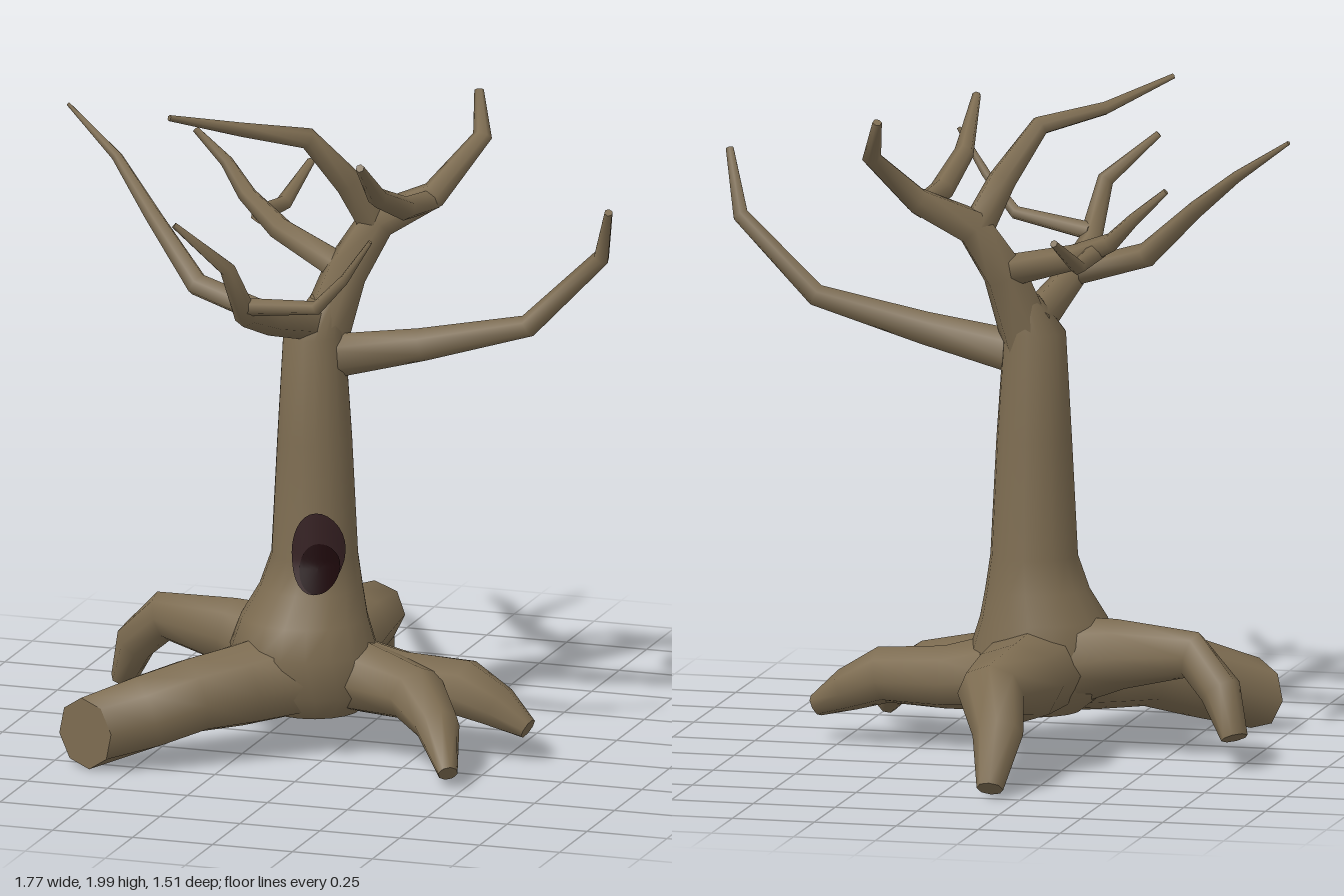
import * as THREE from 'three';

const bark = new THREE.MeshStandardMaterial({ color: 0x7d6c51 });
bark.name = 'bark';
const hollowBrown = new THREE.MeshStandardMaterial({ color: 0x352022 });
hollowBrown.name = 'hollowBrown';
const hollowDark = new THREE.MeshStandardMaterial({ color: 0x1f090c });
hollowDark.name = 'hollowDark';

const V = (x, y, z) => new THREE.Vector3(x, y, z);

// Skin a list of equal-sized rings, with a flat cap at each end
function loft(rings) {
  const n = rings[0].length, pos = [], idx = [];
  const add = (p) => pos.push(p.x, p.y, p.z) / 3 - 1;
  rings.forEach((ring) => ring.forEach(add));
  for (let i = 0; i < rings.length - 1; i++) {
    for (let j = 0; j < n; j++) {
      const a = i * n + j, b = i * n + (j + 1) % n;
      idx.push(a, b, b + n, a, b + n, a + n);
    }
  }
  [rings[0], rings[rings.length - 1]].forEach((ring, end) => {
    const mid = add(ring.reduce((s, p) => s.add(p), V(0, 0, 0)).divideScalar(n));
    const first = pos.length / 3;
    ring.forEach(add);
    for (let j = 0; j < n; j++) {
      const a = first + j, b = first + (j + 1) % n;
      idx.push(mid, end ? a : b, end ? b : a);
    }
  });
  const g = new THREE.BufferGeometry();
  g.setAttribute('position', new THREE.Float32BufferAttribute(pos, 3));
  g.setIndex(idx);
  g.computeVertexNormals();
  return g;
}

// Tapered limb through points [x, y, z, radius, sideways radius]; endDir sets the cut of the tip
function limb(points, sides, endDir) {
  const p = points.map(([x, y, z]) => V(x, y, z));
  const last = p.length - 1;
  let u = null;
  const rings = p.map((c, i) => {
    const t = V(0, 0, 0);
    if (i > 0) t.add(c.clone().sub(p[i - 1]).normalize());
    if (i < last) t.add(p[i + 1].clone().sub(c).normalize());
    if (i === last && endDir) t.copy(endDir);
    t.normalize();
    if (!u) u = Math.abs(t.y) > 0.8 ? V(1, 0, 0) : V(0, 1, 0);
    u = u.clone().addScaledVector(t, -u.dot(t)).normalize();
    const v = t.clone().cross(u);
    const r = points[i][3], w = points[i][4] ?? r;
    return Array.from({ length: sides }, (_, j) => {
      const a = (j / sides) * Math.PI * 2;
      return c.clone().addScaledVector(u, Math.cos(a) * r).addScaledVector(v, Math.sin(a) * w);
    });
  });
  return loft(rings);
}

// Trunk sections: y, centre x, centre z, radius x, radius z
const trunkRows = [
  [0.13, -0.08, 0.09, 0.14, 0.14],
  [0.2, -0.09, 0.09, 0.22, 0.2],
  [0.32, -0.11, 0.1, 0.22, 0.215],
  [0.41, -0.11, 0.09, 0.19, 0.185],
  [0.5, -0.095, 0.072, 0.155, 0.15],
  [0.6, -0.085, 0.07, 0.13, 0.128],
  [0.95, -0.085, 0.07, 0.112, 0.115],
  [1.27, -0.087, 0.07, 0.092, 0.098],
  [1.38, -0.055, 0.045, 0.05, 0.055],
];

function trunkPoint(row, a, offset = 0) {
  const [y, cx, cz, rx, rz] = row;
  return V(cx + Math.sin(a) * (rx + offset), y, cz + Math.cos(a) * (rz + offset));
}

function trunkRowAt(y) {
  const i = trunkRows.findIndex((r) => r[0] > y);
  const lo = trunkRows[i - 1], hi = trunkRows[i];
  const t = (y - lo[0]) / (hi[0] - lo[0]);
  return lo.map((value, k) => value + (hi[k] - value) * t);
}

// Oval patch wrapped onto the trunk surface
function trunkOval(x, y, rx, ry, offset) {
  const g = new THREE.RingGeometry(0.001, 1, 28, 5);
  const pos = g.attributes.position;
  for (let i = 0; i < pos.count; i++) {
    const row = trunkRowAt(y + pos.getY(i) * ry);
    const s = (x + pos.getX(i) * rx - row[1]) / (row[3] + offset);
    const p = trunkPoint(row, Math.asin(THREE.MathUtils.clamp(s, -1, 1)), offset);
    pos.setXYZ(i, p.x, p.y, p.z);
  }
  g.computeVertexNormals();
  return g;
}

const roots = {
  frontRightRoot: [[-0.08, 0.26, 0.1, 0.14, 0.17], [-0.25, 0.23, 0.28, 0.125, 0.14], [-0.36, 0.215, 0.38, 0.115, 0.13],
    [-0.48, 0.175, 0.465, 0.115, 0.13], [-0.635, 0.12, 0.56, 0.108, 0.1]],
  sideRightRoot: [[-0.1, 0.27, 0.06, 0.15, 0.17], [-0.36, 0.32, 0.025, 0.105, 0.095], [-0.59, 0.335, -0.02, 0.075, 0.05],
    [-0.69, 0.24, -0.07, 0.065, 0.06], [-0.745, 0.11, -0.12, 0.035, 0.045]],
  backRoot: [[-0.1, 0.26, 0.02, 0.13, 0.16], [-0.12, 0.275, -0.3, 0.12, 0.15], [-0.09, 0.275, -0.47, 0.095, 0.1],
    [-0.15, 0.18, -0.62, 0.07, 0.075], [-0.155, 0.04, -0.735, 0.035, 0.04]],
  frontLeftRoot: [[0, 0.25, 0.08, 0.12, 0.14], [0.27, 0.22, 0.17, 0.085, 0.1], [0.38, 0.17, 0.31, 0.06, 0.07],
    [0.455, 0.06, 0.43, 0.03]],
  sideLeftRoot: [[-0.03, 0.25, 0.07, 0.12, 0.16], [0.18, 0.22, 0.055, 0.095, 0.13], [0.37, 0.22, 0.05, 0.085, 0.125],
    [0.48, 0.17, 0.05, 0.065, 0.085], [0.58, 0.115, 0.065, 0.033]],
};

const branches = {
  mainBranch: [[-0.085, 1.2, 0.068, 0.088], [-0.01, 1.45, 0.01, 0.068], [0.07, 1.6, -0.055, 0.06],
    [0.23, 1.68, -0.1, 0.042], [0.33, 1.83, -0.25, 0.029], [0.295, 1.95, -0.32, 0.014]],
  highBranch: [[0.06, 1.59, -0.05, 0.052], [0, 1.73, 0.02, 0.044], [-0.09, 1.88, 0.12, 0.032],
    [-0.26, 1.92, 0.23, 0.021], [-0.42, 1.99, 0.42, 0.009]],
  forwardTwig: [[0.22, 1.66, -0.1, 0.034], [0.2, 1.68, 0.08, 0.036], [0.18, 1.76, 0.27, 0.03], [0.19, 1.9, 0.46, 0.013]],
  backBranch: [[-0.02, 1.46, 0.01, 0.048], [-0.25, 1.53, -0.1, 0.038], [-0.39, 1.6, -0.2, 0.028],
    [-0.47, 1.68, -0.25, 0.02], [-0.57, 1.77, -0.255, 0.01]],
  backTwig: [[-0.33, 1.56, -0.14, 0.03], [-0.32, 1.545, -0.33, 0.024], [-0.285, 1.64, -0.48, 0.012]],
  frontBranch: [[-0.09, 1.3, 0.04, 0.06], [-0.12, 1.385, 0.38, 0.044], [-0.125, 1.45, 0.58, 0.035],
    [-0.145, 1.62, 0.69, 0.025], [-0.295, 1.755, 0.74, 0.01]],
  frontTwig: [[-0.125, 1.48, 0.59, 0.028], [0.12, 1.515, 0.65, 0.021], [0.22, 1.62, 0.69, 0.015], [0.31, 1.75, 0.715, 0.007]],
  longRightBranch: [[-0.11, 1.39, 0.36, 0.038], [-0.36, 1.465, 0.34, 0.037], [-0.54, 1.63, 0.22, 0.026],
    [-0.7, 1.76, 0.08, 0.017], [-0.88, 1.885, 0, 0.006]],
  longLeftBranch: [[-0.08, 1.195, 0.07, 0.07, 0.05], [0.25, 1.265, 0.07, 0.05, 0.042], [0.58, 1.35, 0.065, 0.034],
    [0.81, 1.58, 0.065, 0.026], [0.875, 1.755, 0.19, 0.013]],
};

export function createModel() {
  const tree = new THREE.Group();
  tree.name = 'bareTree';
  const add = (name, geometry, material) => {
    const mesh = new THREE.Mesh(geometry, material);
    mesh.name = name;
    tree.add(mesh);
  };

  // Trunk
  const sides = 18;
  add('trunk', loft(trunkRows.map((row) =>
    Array.from({ length: sides }, (_, j) => trunkPoint(row, (j / sides) * Math.PI * 2)))), bark);

  // Roots and branches
  for (const [name, pts] of Object.entries(roots)) {
    add(name, limb(pts, 8, name === 'frontRightRoot' ? V(-0.35, 0, 0.94) : null), bark);
  }
  for (const [name, pts] of Object.entries(branches)) add(name, limb(pts, 6), bark);

  // Hollow in the trunk
  add('hollow', trunkOval(-0.04, 0.63, 0.073, 0.122, 0.005), hollowBrown);
  add('hollowDepth', trunkOval(-0.03, 0.585, 0.055, 0.075, 0.009), hollowDark);
  return tree;
}
